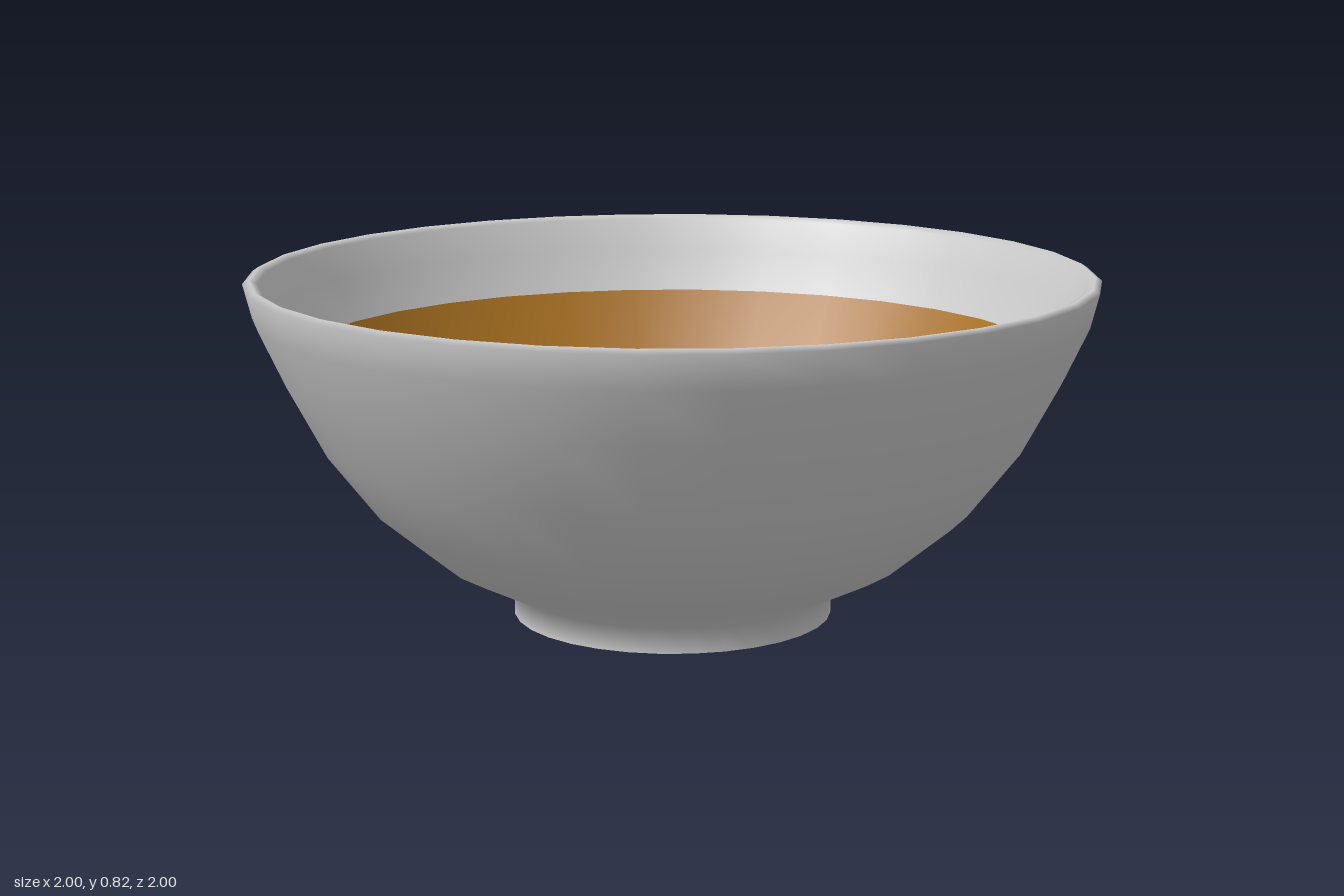
import * as THREE from 'three';

const SIDES = 32;
const grey = new THREE.MeshStandardMaterial({ color: 0xcccccc });
const amber = new THREE.MeshStandardMaterial({ color: 0xa87020 });

// Smooth surface of revolution from [radius, height] pairs
function lathe(name, profile, material) {
  const points = profile.map(([r, y]) => new THREE.Vector2(r, y));
  const mesh = new THREE.Mesh(new THREE.LatheGeometry(points, SIDES), material);
  mesh.name = name;
  return mesh;
}

// Flat horizontal disc facing up (1) or down (-1)
function disc(name, radius, y, facing, material) {
  const geometry = new THREE.CircleGeometry(radius, SIDES);
  geometry.rotateX(-facing * Math.PI / 2);
  const mesh = new THREE.Mesh(geometry, material);
  mesh.name = name;
  mesh.position.y = y;
  return mesh;
}

export function createModel() {
  const bowl = new THREE.Group();
  bowl.name = 'bowl';

  // Foot, outer wall, rounded rim and the bare inner lip
  bowl.add(lathe('outerWall', [
    [0.38, 0], [0.38, 0.06], [0.56, 0.15], [0.71, 0.275], [0.83, 0.43],
    [0.92, 0.6], [0.98, 0.73], [1, 0.81], [0.985, 0.82], [0.965, 0.81],
    [0.94, 0.73], [0.89, 0.63],
  ], grey));
  bowl.add(disc('footBase', 0.38, 0, -1, grey));

  // Coloured lining inside the bowl, with a flat floor
  bowl.add(lathe('lining', [
    [0.89, 0.63], [0.8, 0.46], [0.68, 0.31], [0.54, 0.19], [0.37, 0.1],
  ], amber));
  bowl.add(disc('liningFloor', 0.37, 0.1, 1, amber));

  return bowl;
}
